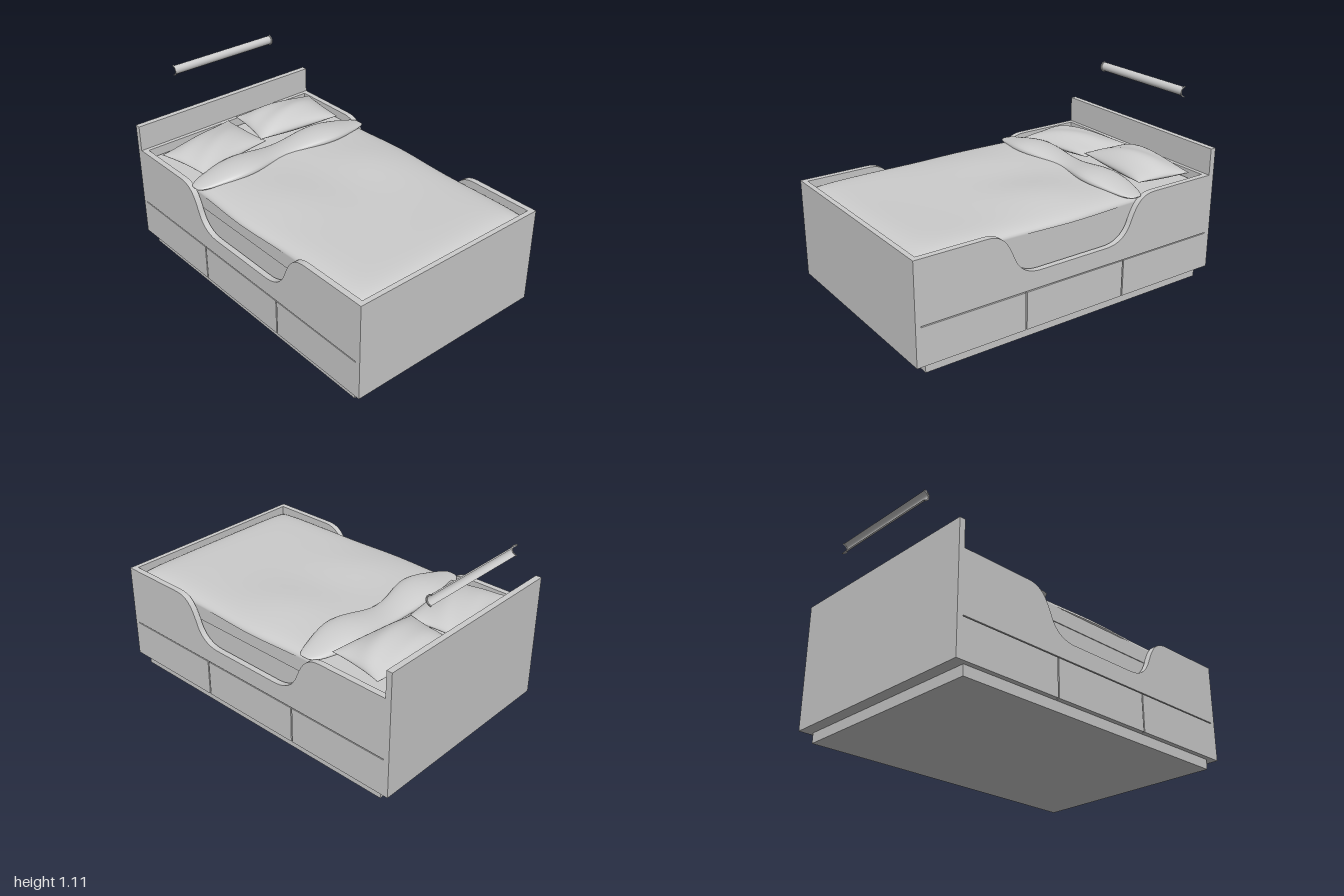
import * as THREE from 'three';
import { ParametricGeometry } from 'three/addons/geometries/ParametricGeometry.js';

const grey = new THREE.MeshStandardMaterial({ color: 0xcccccc });
const cloth = new THREE.MeshStandardMaterial({ color: 0xcccccc, side: THREE.DoubleSide });

export function createModel() {
  const bed = new THREE.Group();
  bed.name = 'bed';

  const add = (name, geometry, material = grey) => {
    const mesh = new THREE.Mesh(geometry, material);
    mesh.name = name;
    bed.add(mesh);
    return mesh;
  };
  // Box given by its minimum and maximum on each axis
  const box = (name, x0, x1, y0, y1, z0, z1) =>
    add(name, new THREE.BoxGeometry(x1 - x0, y1 - y0, z1 - z0))
      .position.set((x0 + x1) / 2, (y0 + y1) / 2, (z0 + z1) / 2);
  // Soft surface from a rule f(u, v) -> [x, y, z]
  const soft = (name, f, nu, nv) =>
    add(name, new ParametricGeometry((u, v, p) => p.set(...f(u, v)), nu, nv), cloth);

  // Frame
  box('plinth', -0.61, 0.61, 0, 0.065, -0.93, 0.935);
  box('bottomBoard', -0.62, 0.62, 0.06, 0.09, -0.97, 0.975);
  box('footboard', -0.64, 0.64, 0.06, 0.65, 0.97, 1);
  box('headboard', -0.64, 0.64, 0.06, 0.81, -1, -0.965);
  box('headInnerBoard', -0.605, 0.605, 0.09, 0.65, -0.965, -0.94);

  // Side panel with a curved cutout, drawn in (-z, y)
  const c = -0.02;
  const panel = new THREE.Shape();
  panel.moveTo(-0.97, 0.288);
  panel.lineTo(0.965, 0.288);
  panel.lineTo(0.965, 0.65);
  panel.lineTo(c + 0.56, 0.65);
  panel.bezierCurveTo(c + 0.46, 0.65, c + 0.43, 0.59, c + 0.395, 0.51);
  panel.bezierCurveTo(c + 0.365, 0.43, c + 0.31, 0.39, c + 0.22, 0.39);
  panel.lineTo(c - 0.22, 0.39);
  panel.bezierCurveTo(c - 0.31, 0.39, c - 0.365, 0.43, c - 0.395, 0.51);
  panel.bezierCurveTo(c - 0.43, 0.59, c - 0.46, 0.65, c - 0.56, 0.65);
  panel.lineTo(-0.97, 0.65);
  const panelGeometry = new THREE.ExtrudeGeometry(panel, { depth: 0.035, bevelEnabled: false, curveSegments: 14 });
  panelGeometry.rotateY(Math.PI / 2);

  for (const side of [-1, 1]) {
    const label = side > 0 ? 'left' : 'right';
    add(label + 'SidePanel', panelGeometry).position.x = side > 0 ? 0.605 : -0.64;
    // Drawer fronts separated by narrow grooves over a recessed backing
    const span = (name, a, b, y0, y1, z0, z1) =>
      box(label + name, side > 0 ? a : -b, side > 0 ? b : -a, y0, y1, z0, z1);
    span('DrawerBacking', 0.605, 0.625, 0.06, 0.3, -0.97, 0.975);
    [[-0.97, -0.333], [-0.325, 0.33], [0.338, 0.975]].forEach(([z0, z1], i) =>
      span('Drawer' + (i + 1), 0.62, 0.64, 0.06, 0.282, z0, z1));
  }

  // Bedding
  box('bedBase', -0.595, 0.595, 0.3, 0.51, -0.935, 0.965);
  box('mattress', -0.6, 0.6, 0.51, 0.6, -0.93, 0.965);

  // Duvet: gently waved sheet that rounds down at its sides and foot
  soft('duvet', (u, v) => {
    const s = Math.sin((v - 0.5) * Math.PI);
    const z = -0.48 + 1.445 * Math.sin(u * Math.PI / 2);
    const f = (z + 0.48) / 1.445;
    const bulge = Math.exp(-z * z / 0.07);
    const x = s * (0.6 + 0.018 * bulge);
    const top = 0.648 + 0.008 * Math.cos(x * 3) * (1 - f) + 0.016 * bulge * Math.sin(Math.abs(x) * 5) ** 2
      + 0.003 * Math.sin(z * 7 + x * 4);
    const edge = Math.sqrt(Math.max(0, (1 - Math.abs(s) ** 9) * (1 - f ** 24)));
    return [x, 0.595 + (top - 0.595) * edge, z];
  }, 40, 40);

  // Folded duvet edge: flattened roll with two humps, tapered at the ends
  soft('duvetFold', (u, v) => {
    const t = u * Math.PI * 2;
    const s = Math.sin((v - 0.5) * Math.PI);
    const x = s * 0.625;
    const hump = Math.sin(Math.min(1, Math.abs(s)) * Math.PI) ** 2;
    const end = Math.sqrt(Math.max(0, 1 - s ** 8));
    const front = -0.36 + 0.055 * hump + 0.02 * s * s;
    const back = -0.53 - 0.015 * hump + 0.035 * s ** 4;
    const top = 0.67 + 0.032 * hump - 0.012 * s * s;
    const half = (top - 0.61) / 2;
    const thin = 0.25 + 0.75 * end;
    return [x,
      0.61 + half * (1 + end * Math.sin(t)),
      (front + back) / 2 - (front - back) / 2 * thin * Math.cos(t) + 0.02 * end * Math.sin(t)];
  }, 24, 48);

  // Pillow: two domed faces over a four-cornered outline of [x, z] points
  const pillow = (name, [a, b, d, e], seam, rise, sag) => {
    const face = (dir) => (u, v) => {
      const p = Math.sin((u - 0.5) * Math.PI);
      const q = Math.sin((v - 0.5) * Math.PI);
      // Edges pinch slightly inward between the corners
      const pp = p * (1 - 0.05 * (1 - q * q)), qq = q * (1 - 0.05 * (1 - p * p));
      const m = (1 + qq) / 2, n = (1 + pp) / 2;
      const at = (k) => (a[k] * (1 - m) + b[k] * m) * (1 - n) + (e[k] * (1 - m) + d[k] * m) * n;
      const dome = Math.pow(Math.max(0, (1 - p * p) * (1 - q * q)), 0.6);
      const crease = 1 + 0.08 * Math.sin(p * 5 + q * 3);
      return [at(0), seam + (dir > 0 ? rise * crease : -sag) * dome, at(1)];
    };
    soft(name + 'Top', face(1), 24, 24);
    // Swapped parameters turn the lower face downward
    const lower = face(-1);
    soft(name + 'Underside', (u, v) => lower(v, u), 24, 24);
  };
  pillow('rightPillow', [[-0.58, -0.83], [-0.02, -0.94], [0.0, -0.57], [-0.52, -0.49]], 0.655, 0.066, 0.05);
  pillow('leftPillow', [[0.03, -0.93], [0.58, -0.865], [0.53, -0.52], [-0.03, -0.585]], 0.668, 0.08, 0.06);

  // Wall lamp: half tube open to the back, with a rim at each end
  const halfTube = (name, radius, length, x) => {
    const g = new THREE.CylinderGeometry(radius, radius, length, 20, 1, true, -Math.PI / 2, Math.PI);
    g.rotateZ(Math.PI / 2);
    add(name, g, cloth).position.set(x, 1.08, -1);
  };
  halfTube('lampTube', 0.028, 0.71, 0.008);
  for (const side of [-1, 1]) {
    const x = 0.008 + side * 0.359;
    halfTube('lampRim', 0.033, 0.007, x);
    for (const dx of [-0.0035, 0.0035]) {
      const ring = new THREE.RingGeometry(0.027, 0.033, 20, 1, Math.PI / 2, Math.PI);
      ring.rotateY(Math.PI / 2);
      add('lampRimFace', ring, cloth).position.set(x + dx, 1.08, -1);
    }
  }
  return bed;
}
